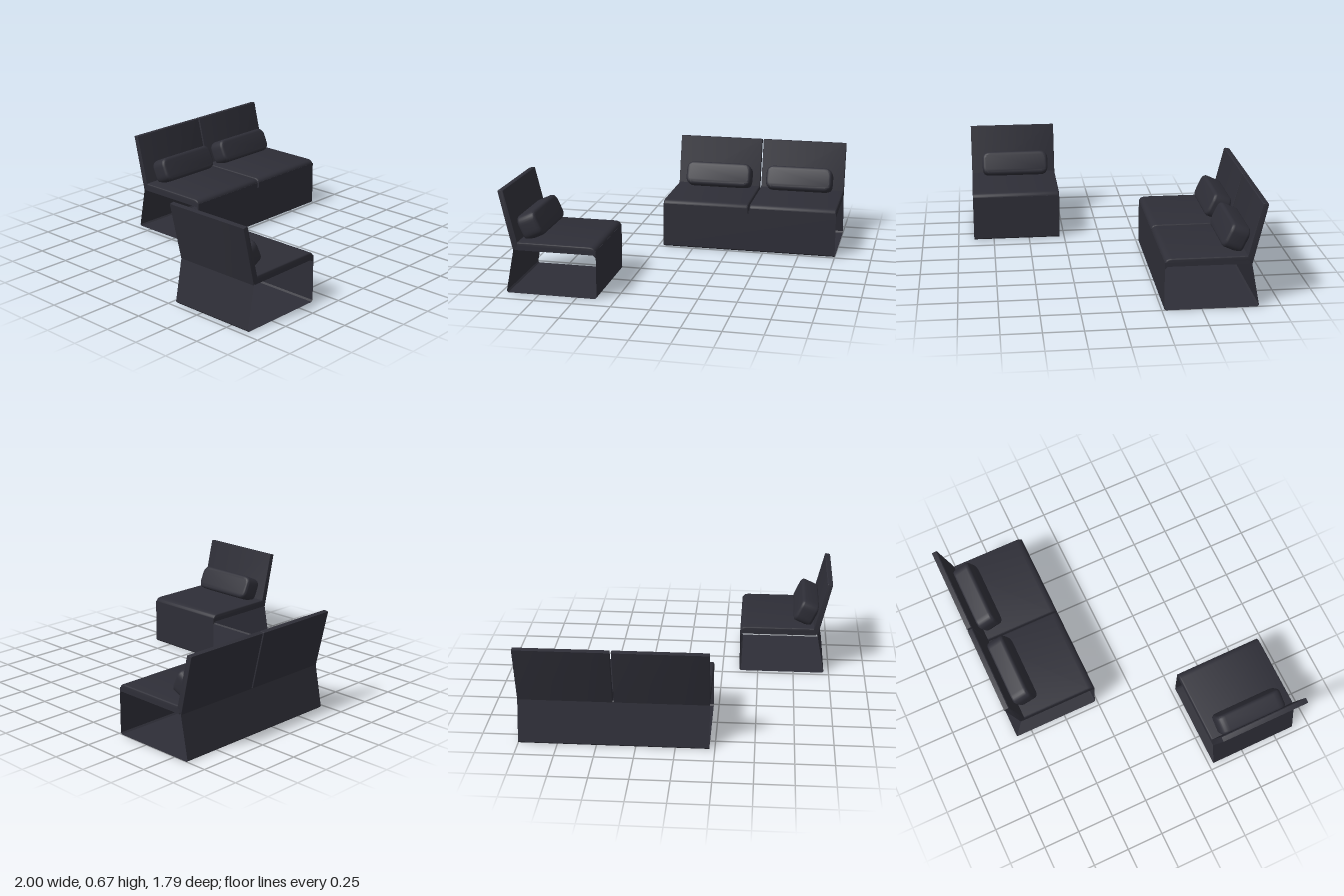
import * as THREE from 'three';
import { toCreasedNormals } from 'three/addons/utils/BufferGeometryUtils.js';

const fabric = new THREE.MeshStandardMaterial({ color: 0x2e2e37, side: THREE.DoubleSide });
fabric.name = 'charcoal fabric';

function part(name, geometry) {
  const mesh = new THREE.Mesh(geometry, fabric);
  mesh.name = name;
  return mesh;
}

// Sweep a side profile (z forward, y up) across the width, centred on x = 0
function sweep(shape, width, bevel = 0) {
  const g = new THREE.ExtrudeGeometry(shape, {
    depth: width - 2 * bevel, curveSegments: 6, bevelEnabled: bevel > 0,
    bevelThickness: bevel, bevelSize: bevel, bevelOffset: -bevel, bevelSegments: 3,
  });
  g.translate(0, 0, bevel - width / 2).rotateY(-Math.PI / 2);
  return toCreasedNormals(g, 0.6);
}

const polygon = (pts) => new THREE.Shape(pts.map(([z, y]) => new THREE.Vector2(z, y)));

// Thin wrap around the base: back, floor and front panels, with open ends
function wrapGeometry(width) {
  const path = [[0.09, 0.287], [0.036, 0.01], [0.045, 0], [0.62, 0], [0.63, 0.01], [0.63, 0.275]];
  const h = width / 2, v = [];
  for (let i = 0; i < path.length - 1; i++) {
    const [z0, y0] = path[i], [z1, y1] = path[i + 1];
    v.push(-h, y0, z0, -h, y1, z1, h, y1, z1, -h, y0, z0, h, y1, z1, h, y0, z0);
  }
  // Corner order makes the outer side the front
  for (let i = 0; i < v.length; i += 9) {
    for (let k = 0; k < 3; k++) [v[i + 3 + k], v[i + 6 + k]] = [v[i + 6 + k], v[i + 3 + k]];
  }
  const g = new THREE.BufferGeometry();
  g.setAttribute('position', new THREE.Float32BufferAttribute(v, 3));
  g.computeVertexNormals();
  return g;
}

// Soft lumbar pillow with rounded corners
function pillowGeometry() {
  const w = 0.475, h = 0.17, d = 0.132, b = 0.022, r = 0.06;
  const x = w / 2, y = h / 2, s = new THREE.Shape();
  s.moveTo(-x + r, -y);
  s.lineTo(x - r, -y).quadraticCurveTo(x, -y, x, -y + r);
  s.lineTo(x, y - r).quadraticCurveTo(x, y, x - r, y);
  s.lineTo(-x + r, y).quadraticCurveTo(-x, y, -x, y - r);
  s.lineTo(-x, -y + r).quadraticCurveTo(-x, -y, -x + r, -y);
  const g = new THREE.ExtrudeGeometry(s, {
    depth: d - 2 * b, curveSegments: 8, bevelThickness: b, bevelSize: b, bevelOffset: -b, bevelSegments: 4,
  });
  g.translate(0, 0, b - d / 2);
  return toCreasedNormals(g, 0.7);
}

// One place to sit: slanted backrest, seat deck, cushion and pillow
function seat(width, pillowShift) {
  const group = new THREE.Group();
  group.name = 'seat';

  const back = polygon([[0.088, 0.285], [0.122, 0.315], [0.036, 0.67], [0.03, 0.673], [0, 0.667]]);
  group.add(part('backrest', sweep(back, width, 0.002)));

  const deck = polygon([[0.1, 0.287], [0.613, 0.287], [0.63, 0.27], [0.63, 0.312], [0.1, 0.318]]);
  group.add(part('seatDeck', sweep(deck, width)));

  const top = new THREE.Shape();
  top.moveTo(0.1, 0.3).lineTo(0.63, 0.3);
  top.quadraticCurveTo(0.63, 0.338, 0.585, 0.338).lineTo(0.1, 0.338);
  group.add(part('seatCushion', sweep(top, width, 0.009)));

  const pillow = part('pillow', pillowGeometry());
  pillow.position.set(pillowShift, 0.418, 0.17);
  pillow.rotation.x = -0.43;
  group.add(pillow);
  return group;
}

export function createModel() {
  const model = new THREE.Group();
  model.name = 'loungeSet';

  // Two-seat sofa
  const sofa = new THREE.Group();
  sofa.name = 'sofa';
  sofa.add(part('sofaBase', wrapGeometry(1.215)));
  for (const side of [-1, 1]) {
    const place = seat(0.602, -side * 0.013);
    place.position.x = side * 0.3065;
    sofa.add(place);
  }
  sofa.position.set(0.3925, 0, -0.895);
  model.add(sofa);

  // Single chair turned to face the left
  const chair = new THREE.Group();
  chair.name = 'chair';
  chair.add(part('chairBase', wrapGeometry(0.608)), seat(0.608, 0.011));
  chair.position.set(-1, 0, 0.586);
  chair.rotation.y = Math.PI / 2;
  model.add(chair);

  return model;
}
